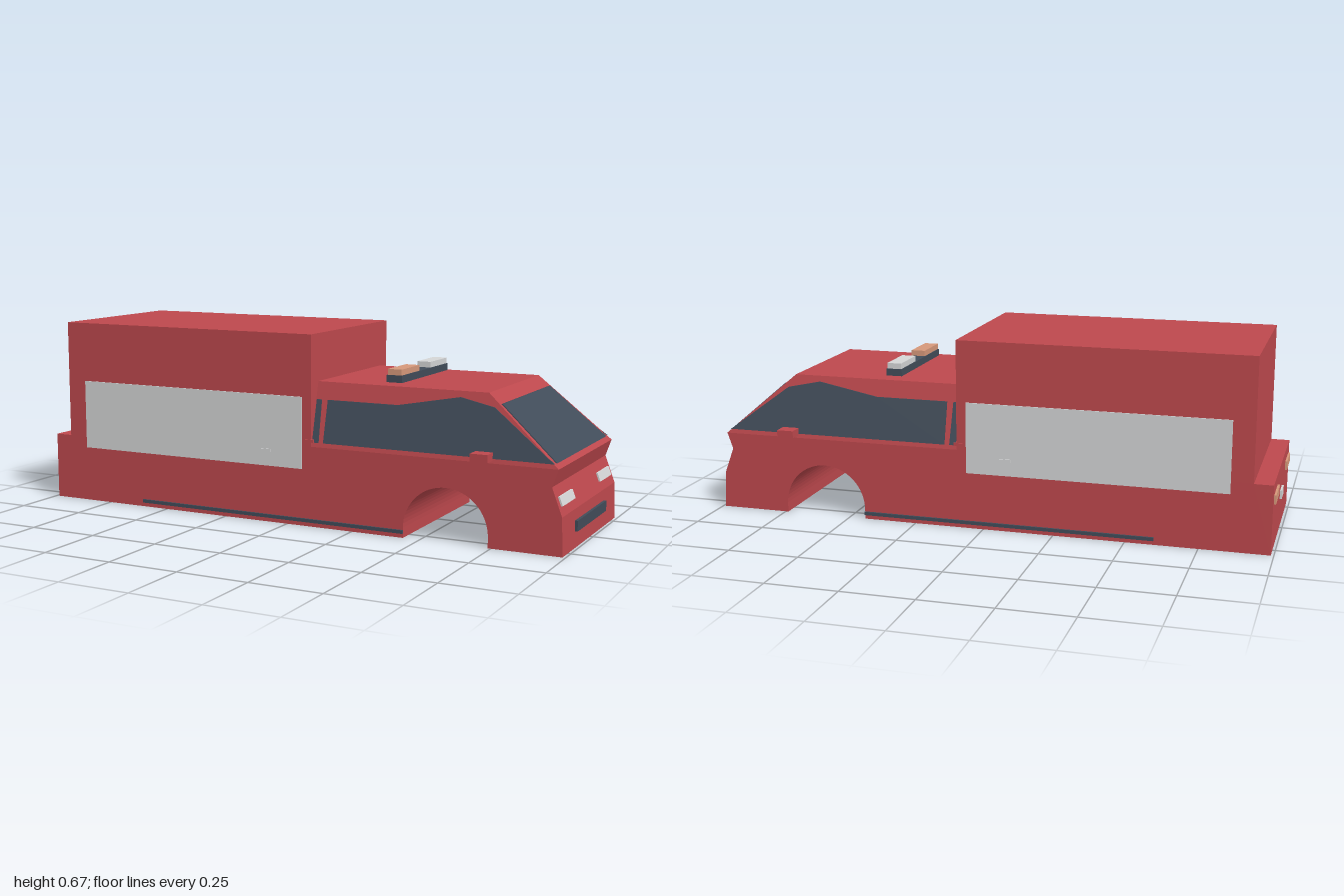
import * as THREE from 'three';

const W = 0.305; // half width of the body

function paint(name, hex) {
  const m = new THREE.MeshStandardMaterial({ color: hex });
  m.name = name;
  return m;
}

function polygon(points) {
  return new THREE.Shape(points.map(([x, y]) => new THREE.Vector2(x, y)));
}

// Thin plate cut from a polygon, centred on its own thickness
function plateGeometry(points, thickness = 0.006) {
  const g = new THREE.ExtrudeGeometry(polygon(points), { depth: thickness, bevelEnabled: false });
  return g.translate(0, 0, -thickness / 2);
}

function shift(g, rule) {
  const p = g.attributes.position;
  for (let i = 0; i < p.count; i++) {
    const [x, y, z] = rule(p.getX(i), p.getY(i), p.getZ(i));
    p.setXYZ(i, x, y, z);
  }
  g.computeVertexNormals();
  return g;
}

export function createModel() {
  const red = paint('red paint', 0xbd484d);
  const dark = paint('dark glass', 0x414c59);
  const white = paint('pale grey', 0xd4d5d6);
  const orange = paint('amber', 0xd6987a);

  const model = new THREE.Group();
  model.name = 'van';
  const add = (name, geometry, material) => {
    const m = new THREE.Mesh(geometry, material);
    m.name = name;
    model.add(m);
    return m;
  };
  // Box given by its limits on each axis
  const box = (name, material, [x0, x1], [y0, y1], [z0, z1]) =>
    add(name, new THREE.BoxGeometry(x1 - x0, y1 - y0, z1 - z0), material)
      .position.set((x0 + x1) / 2, (y0 + y1) / 2, (z0 + z1) / 2);

  // Body and cargo box: one side profile with the front wheel arch cut out
  const profile = polygon([[-0.99, 0.24], [-0.99, 0], [0.44, 0], [0.44, 0.035]]);
  profile.absarc(0.59, 0.035, 0.15, Math.PI, 0, true);
  [[0.74, 0], [0.99, 0], [0.985, 0.128], [0.95, 0.222], [0.97, 0.28], [0.095, 0.28],
    [0.095, 0.665], [-0.925, 0.665], [-0.925, 0.24]].forEach(([x, y]) => profile.lineTo(x, y));
  const body = new THREE.ExtrudeGeometry(profile, { depth: 2 * W, bevelEnabled: false, curveSegments: 16 });
  add('body', body.translate(0, 0, -W), red);

  // Cab top: a box with sides leaning in and a sloping front
  const halfWidth = y => W - (y - 0.28) * 0.25;
  const screenX = y => 0.97 - (y - 0.28) * (0.255 / 0.22);
  const cab = shift(new THREE.BoxGeometry(1, 1, 1), (x, y, z) => {
    const h = y > 0 ? 0.5 : 0.28;
    return [x > 0 ? screenX(h) : 0.095, h, Math.sign(z) * halfWidth(h)];
  });
  add('cab', cab, red);

  // Windscreen
  const screen = plateGeometry([[-0.28, 0.295], [0.28, 0.295], [0.245, 0.465], [-0.245, 0.465]]);
  screen.rotateY(Math.PI / 2);
  add('windscreen', shift(screen, (x, y, z) => [x + screenX(y) + 0.002, y, z]), dark);

  // Headlights lying on the sloping nose
  for (const s of [-1, 1]) {
    const a = s * 0.213;
    const lamp = plateGeometry([[a - 0.069, 0.159], [a + 0.069, 0.159], [a + 0.069, 0.188], [a - 0.069, 0.188]], 0.008);
    lamp.rotateY(Math.PI / 2);
    add('headlight', shift(lamp, (x, y, z) => [x + 0.985 - (y - 0.128) * 0.372 + 0.002, y, z]), white);
  }
  box('grille', dark, [0.985, 0.996], [0.054, 0.09], [-0.168, 0.168]);

  // Parts on both sides
  const panes = [
    [[0.14, 0.295], [0.955, 0.295], [0.74, 0.455], [0.62, 0.48], [0.4, 0.44], [0.14, 0.44]],
    [[0.098, 0.295], [0.122, 0.295], [0.117, 0.44], [0.098, 0.44]],
  ];
  for (const s of [-1, 1]) {
    const span = (a, b) => (s > 0 ? [a, b] : [-b, -a]);
    for (const pane of panes) {
      const g = shift(plateGeometry(pane), (x, y, z) => [x, y, z + s * halfWidth(y)]);
      add('side window', g, dark);
    }
    box('side panel', white, [-0.85, 0.06], [0.2, 0.45], span(0.303, 0.309));
    box('panel handle', white, [-0.1, -0.06], [0.25, 0.26], span(0.307, 0.313));
    box('door handle', red, [0.065, 0.105], [0.295, 0.305], span(0.302, 0.309));
    box('sill strip', dark, [-0.6, 0.44], [0.015, 0.027], span(0.303, 0.312));
    box('mirror', red, [0.69, 0.75], [0.289, 0.315], span(0.295, 0.35));
    box('tail light', orange, [-0.997, -0.988], [0.168, 0.2], span(0.15, 0.28));
  }
  box('rear plate', white, [-0.997, -0.988], [0.115, 0.145], [-0.035, 0.035]);

  // Roof light bar
  box('light bar', dark, [0.33, 0.387], [0.505, 0.53], [-0.202, 0.202]);
  box('amber beacon', orange, [0.333, 0.384], [0.53, 0.55], [0.05, 0.2]);
  box('white beacon', white, [0.333, 0.384], [0.53, 0.55], [-0.2, -0.05]);

  return model;
}
